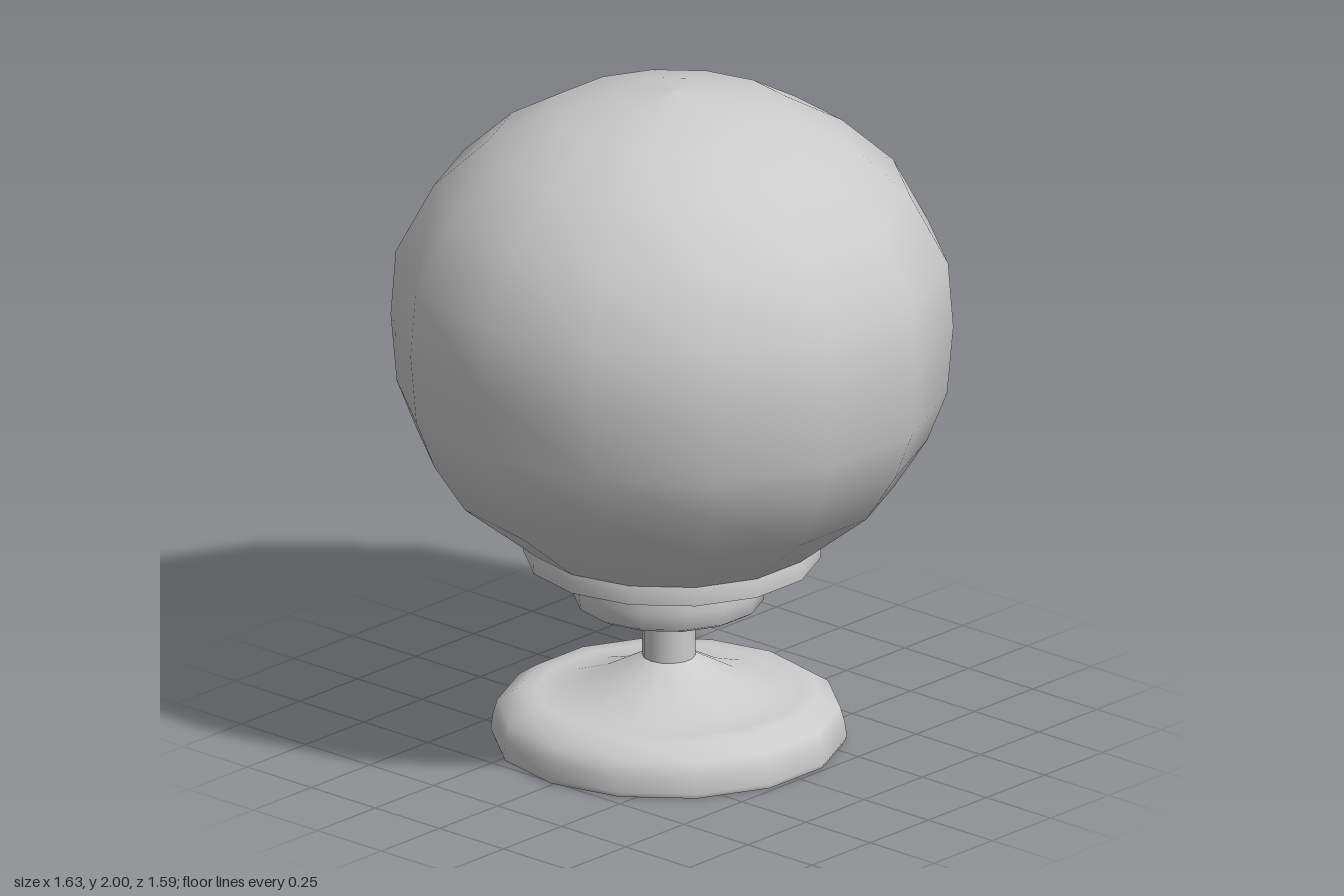
import * as THREE from 'three';

const SIDES = 14;

// Turned part: each strip is smooth within itself, with a sharp edge between strips.
// Profiles run from the bottom up as [radius, height].
function turned(name, strips, z = 0) {
  const part = new THREE.Group();
  part.name = name;
  part.position.z = z;
  const material = new THREE.MeshStandardMaterial({ color: 0xcccccc, side: THREE.DoubleSide });
  strips.forEach((strip, i) => {
    const points = strip.map(([r, y]) => new THREE.Vector2(r, y));
    const mesh = new THREE.Mesh(new THREE.LatheGeometry(points, SIDES, Math.PI / 2), material);
    mesh.name = `${name}Surface${i + 1}`;
    part.add(mesh);
  });
  return part;
}

export function createModel() {
  const model = new THREE.Group();
  model.name = 'globeLamp';
  const footZ = -0.0125; // the foot sits slightly behind the globe

  // Large round shade
  model.add(turned('globe', [[
    [0.43, 0.625], [0.645, 0.795], [0.74, 0.94], [0.797, 1.085], [0.815, 1.29],
    [0.8, 1.485], [0.69, 1.69], [0.53, 1.835], [0.35, 1.935], [0.16, 1.98], [0, 2],
  ]]));

  // Flat ring closing the shade
  model.add(turned('collar', [
    [[0, 0.567], [0.43, 0.567]],
    [[0.43, 0.567], [0.432, 0.6], [0.425, 0.63]],
    [[0.425, 0.63], [0.4, 0.63]],
  ]));

  // Socket under the collar, with softened rims
  model.add(turned('socket', [
    [[0, 0.42], [0.255, 0.42]],
    [[0.255, 0.42], [0.275, 0.432], [0.28, 0.48], [0.278, 0.545], [0.262, 0.56]],
    [[0.262, 0.56], [0, 0.567]],
  ], footZ));

  // Thin neck
  model.add(turned('stem', [[[0.077, 0.25], [0.077, 0.425]]], footZ));

  // Flared cone and rounded disc foot
  model.add(turned('base', [
    [[0, 0], [0.51, 0]],
    [[0.51, 0], [0.516, 0.015], [0.51, 0.06], [0.497, 0.105], [0.435, 0.145], [0.38, 0.147]],
    [[0.38, 0.147], [0.31, 0.152], [0.2, 0.19], [0.077, 0.256]],
  ], footZ));

  return model;
}
